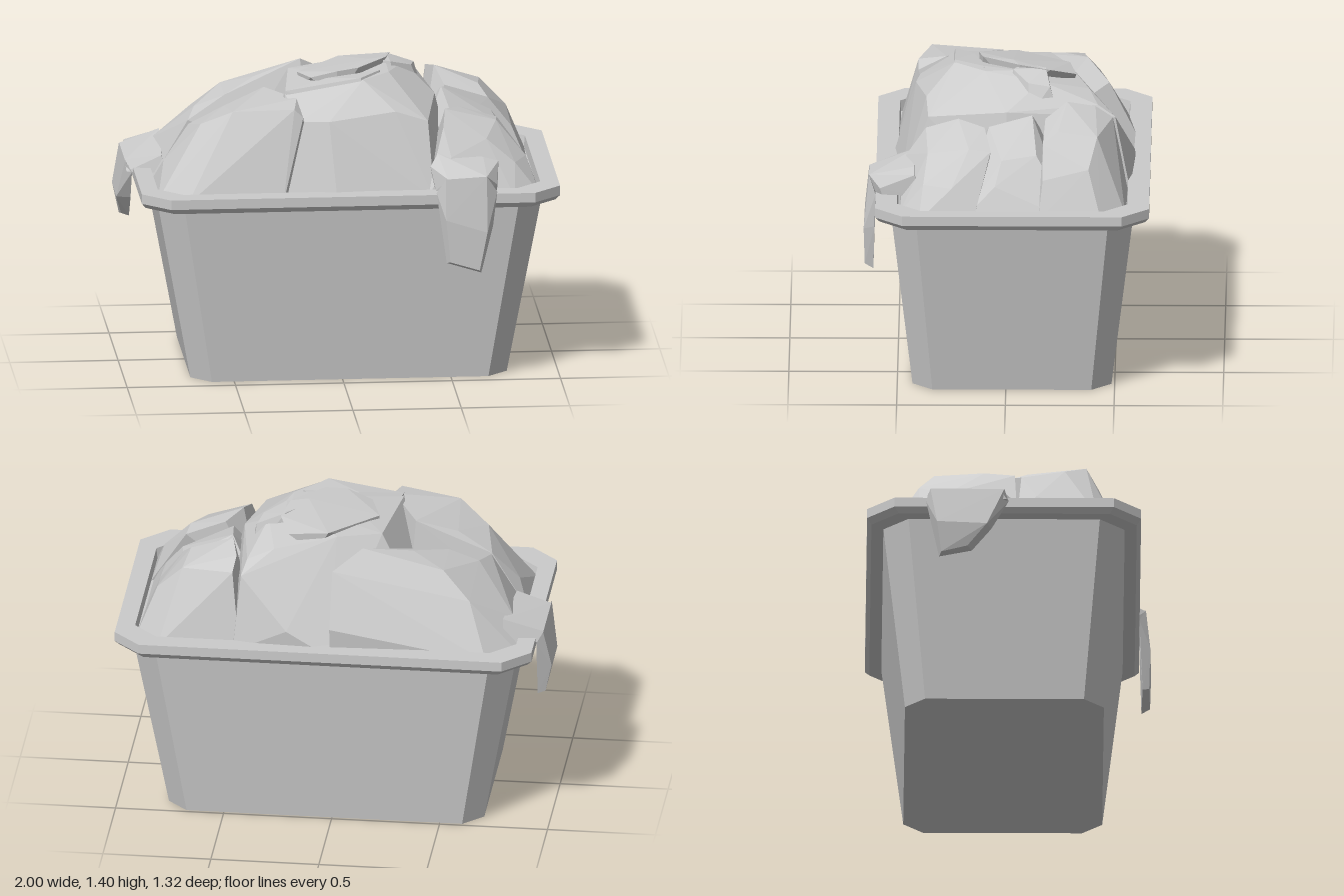
import * as THREE from 'three';
import { ConvexGeometry } from 'three/addons/geometries/ConvexGeometry.js';

const material = new THREE.MeshStandardMaterial({ color: 0xcccccc, flatShading: true });

// Rectangle with cut corners, at height y, running front, +x side, back, -x side
function cutRect(y, x0, x1, z0, z1, c) {
  return [
    [x0 + c, z1], [x1 - c, z1], [x1, z1 - c], [x1, z0 + c],
    [x1 - c, z0], [x0 + c, z0], [x0, z0 + c], [x0, z1 - c],
  ].map(([x, z]) => [x, y, z]);
}

// Joins loops into a closed skin with a cap at both ends
function loftLoops(loops) {
  const pos = [];
  const tri = (...pts) => pts.forEach((p) => pos.push(...p));
  const n = loops[0].length;
  const first = loops[0], last = loops[loops.length - 1];
  for (let k = 0; k < loops.length - 1; k++) {
    const a = loops[k], b = loops[k + 1];
    for (let i = 0; i < n; i++) {
      const j = (i + 1) % n;
      tri(a[i], a[j], b[j]);
      tri(a[i], b[j], b[i]);
    }
  }
  for (let i = 1; i < n - 1; i++) {
    tri(first[0], first[i + 1], first[i]);
    tri(last[0], last[i], last[i + 1]);
  }
  const g = new THREE.BufferGeometry();
  g.setAttribute('position', new THREE.Float32BufferAttribute(pos, 3));
  g.computeVertexNormals();
  return g;
}

function addMesh(parent, name, geometry) {
  const mesh = new THREE.Mesh(geometry, material);
  mesh.name = name;
  parent.add(mesh);
}

// Faceted lump: ground outline [x, z] at height y0, plus surface points [x, y, z]
function addLump(parent, name, y0, outline, points) {
  const all = [...outline.map(([x, z]) => [x, y0, z]), ...points];
  addMesh(parent, name, new ConvexGeometry(all.map((p) => new THREE.Vector3(...p))));
}

export function createModel() {
  const model = new THREE.Group();
  model.name = 'filledTub';

  // Tapered tub with a flat projecting rim and a shallow inner lip
  addMesh(model, 'tub', loftLoops([
    cutRect(0, -0.695, 0.765, -0.485, 0.43, 0.092),
    cutRect(0.84, -0.85, 0.92, -0.585, 0.525, 0.115),
    cutRect(0.84, -0.91, 0.98, -0.64, 0.58, 0.125),
    cutRect(0.865, -0.93, 1.0, -0.66, 0.6, 0.125),
    cutRect(0.91, -0.93, 1.0, -0.66, 0.6, 0.125),
    cutRect(0.91, -0.85, 0.915, -0.56, 0.5, 0.11),
    cutRect(0.86, -0.845, 0.91, -0.555, 0.495, 0.11),
  ]));

  // Heaped filling, made of overlapping faceted lobes
  const filling = new THREE.Group();
  filling.name = 'filling';
  model.add(filling);

  addLump(filling, 'frontLeftLobe', 0.86,
    [[-0.85, 0.03], [-0.85, 0.4], [-0.72, 0.49], [-0.28, 0.51], [-0.12, 0.3], [-0.3, -0.05]],
    [[-0.8, 0.98, 0.12], [-0.64, 1.18, 0.25], [-0.5, 1.26, 0.35], [-0.22, 1.28, 0.41],
      [-0.18, 1.24, 0.41], [-0.2, 1.3, 0.28], [-0.33, 1.29, 0.02], [-0.52, 1.22, 0.08], [-0.68, 1.13, 0.05]]);

  addLump(filling, 'backLeftLobe', 0.86,
    [[-0.85, 0.03], [-0.85, -0.42], [-0.72, -0.55], [0, -0.58], [-0.1, 0]],
    [[-0.82, 0.98, -0.3], [-0.68, 1.14, 0.02], [-0.64, 1.17, -0.12], [-0.63, 1.1, -0.42],
      [-0.5, 1.22, -0.12], [-0.5, 1.22, -0.35], [-0.35, 1.27, -0.26], [-0.13, 1.32, -0.37],
      [0, 1.24, -0.47], [0, 1.0, -0.59]]);

  addLump(filling, 'centreLobe', 0.86,
    [[-0.28, 0.49], [-0.03, 0.53], [0.42, 0.49], [0.55, 0], [0.45, -0.57], [0, -0.59], [-0.45, -0.3]],
    [[-0.19, 1.22, 0.4], [-0.06, 1.22, 0.42], [0.25, 1.25, 0.37], [0.4, 1.2, 0.36],
      [-0.25, 1.31, 0.24], [0.11, 1.37, 0.24], [0.24, 1.37, 0.1], [0.24, 1.375, -0.05],
      [0.33, 1.35, -0.16], [-0.2, 1.32, -0.2], [0, 1.33, -0.28], [0.28, 1.3, -0.38],
      [0.4, 1.26, -0.42], [0.42, 1.21, -0.5], [0.2, 0.98, -0.59], [0.46, 1.24, 0]]);

  addLump(filling, 'topFold', 1.25,
    [[-0.16, -0.05], [0, 0.12], [0.2, -0.05], [0.1, -0.3]],
    [[-0.17, 1.34, -0.05], [-0.12, 1.35, 0.1], [0, 1.385, 0.13], [0.1, 1.395, 0.11],
      [0.16, 1.4, -0.03], [0.24, 1.4, -0.06], [0.27, 1.385, -0.2], [0.22, 1.35, -0.32], [0.04, 1.35, -0.29]]);

  addLump(filling, 'frontTopFold', 1.2,
    [[-0.24, 0.27], [0.14, 0.3], [0.22, 0.1], [-0.15, 0.1]],
    [[-0.25, 1.325, 0.24], [0.1, 1.38, 0.24], [0.2, 1.38, 0.1], [-0.05, 1.36, 0.15]]);

  addLump(filling, 'smallKnob', 1.2,
    [[0.16, -0.08], [0.28, 0], [0.42, -0.1], [0.4, -0.24], [0.24, -0.2]],
    [[0.17, 1.39, -0.08], [0.26, 1.385, -0.03], [0.36, 1.35, -0.1], [0.38, 1.34, -0.2], [0.25, 1.39, -0.18]]);

  addLump(filling, 'middleRightLobe', 0.86,
    [[0.3, 0.25], [0.9, 0.2], [0.9, -0.3], [0.3, -0.3]],
    [[0.83, 1.0, 0.05], [0.75, 1.1, 0.02], [0.73, 1.12, -0.14], [0.5, 1.24, -0.12], [0.52, 1.19, 0.08]]);

  addLump(filling, 'frontRightLobe', 0.86,
    [[0.38, 0.49], [0.79, 0.49], [0.91, 0.4], [0.91, 0.15], [0.4, 0.1]],
    [[0.47, 1.17, 0.37], [0.49, 1.22, 0.22], [0.56, 1.2, 0.1], [0.74, 1.14, 0.07],
      [0.73, 1.15, 0.17], [0.67, 1.11, 0.36], [0.86, 1.0, 0.25], [0.8, 1.0, 0.38], [0.5, 1.05, 0.46]]);

  addLump(filling, 'backRightLobe', 0.86,
    [[0.42, -0.56], [0.8, -0.55], [0.91, -0.44], [0.9, -0.15], [0.4, -0.15]],
    [[0.45, 1.27, -0.41], [0.48, 1.3, -0.28], [0.46, 1.22, -0.49], [0.68, 1.22, -0.24],
      [0.7, 1.2, -0.42], [0.82, 1.08, -0.38], [0.83, 1.03, -0.17], [0.72, 1.17, -0.17], [0.52, 1.23, -0.18]]);

  // Drips: a sloping top over the rim, then a tapering tongue
  const drips = new THREE.Group();
  drips.name = 'drips';
  model.add(drips);

  addLump(drips, 'frontDripTop', 0.92,
    [[0.42, 0.4], [0.72, 0.4], [0.7, 0.57], [0.66, 0.6], [0.46, 0.61], [0.42, 0.56]],
    [[0.4, 1.02, 0.5], [0.44, 1.06, 0.42], [0.65, 1.04, 0.42], [0.72, 1.02, 0.42],
      [0.7, 0.95, 0.58], [0.65, 1.0, 0.63], [0.47, 0.99, 0.63]]);
  addLump(drips, 'frontDripTongue', 0.92,
    [[0.42, 0.6], [0.7, 0.6]],
    [[0.46, 0.99, 0.63], [0.65, 1.0, 0.63], [0.44, 0.8, 0.602], [0.68, 0.76, 0.605],
      [0.46, 0.8, 0.65], [0.65, 0.74, 0.655], [0.465, 0.59, 0.615], [0.625, 0.54, 0.61],
      [0.48, 0.6, 0.645], [0.615, 0.56, 0.65]]);

  addLump(drips, 'sideDripTop', 0.89,
    [[-0.78, -0.4], [-0.78, 0.02], [-0.96, -0.02], [-0.96, -0.37]],
    [[-0.78, 1.0, -0.38], [-0.8, 0.97, 0], [-0.965, 0.94, -0.05], [-0.965, 0.94, -0.36]]);
  addLump(drips, 'sideDripTongue', 0.89,
    [[-0.935, -0.39], [-0.935, -0.01]],
    [[-0.965, 0.94, -0.37], [-0.965, 0.94, -0.03], [-0.935, 0.76, -0.36], [-0.935, 0.75, -0.09],
      [-1, 0.76, -0.34], [-1, 0.75, -0.11], [-0.97, 0.62, -0.32], [-0.97, 0.65, -0.2],
      [-0.935, 0.61, -0.33], [-0.935, 0.64, -0.18]]);

  return model;
}
